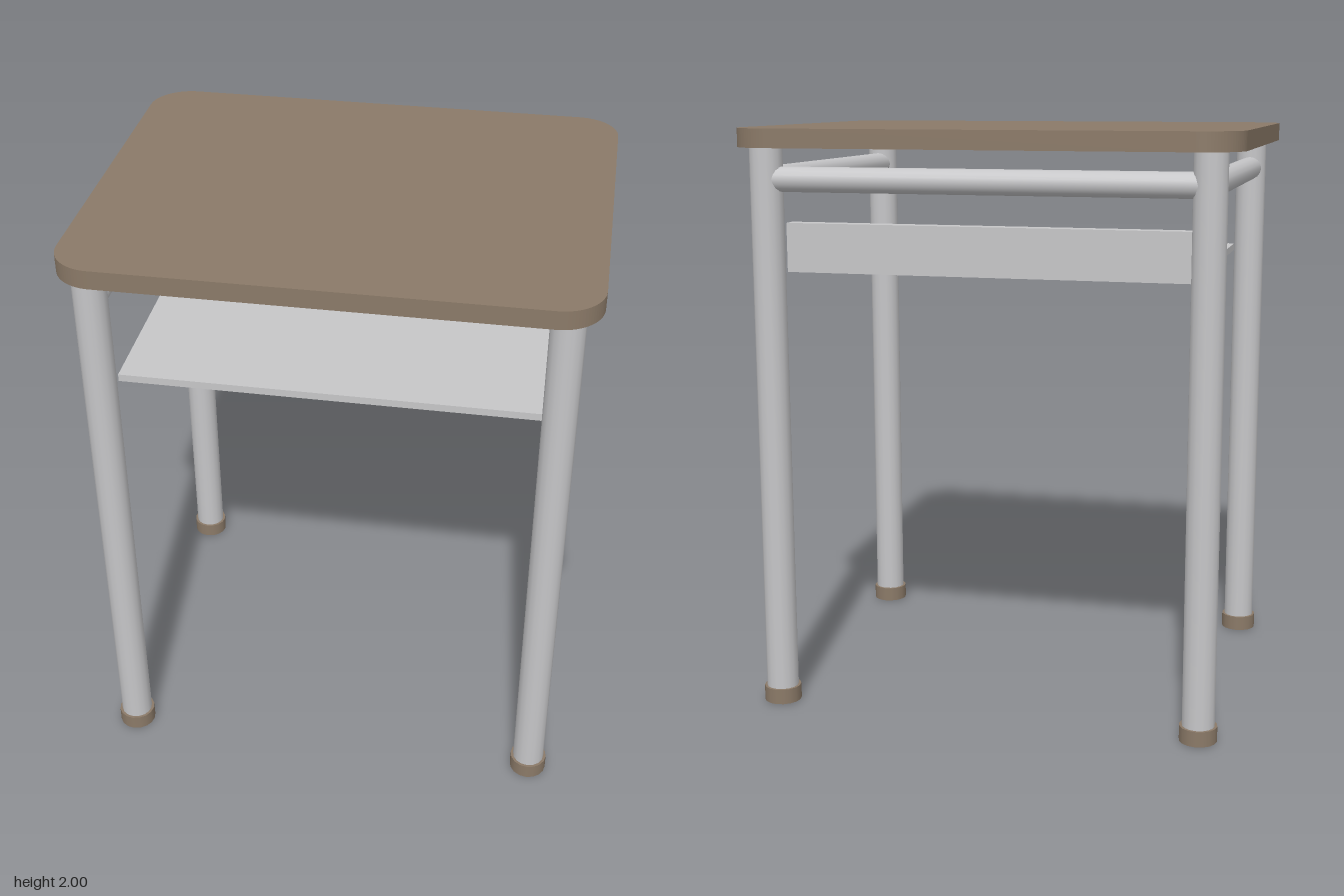
import * as THREE from 'three';

const material = (name, color) => {
  const m = new THREE.MeshStandardMaterial({ color });
  m.name = name;
  return m;
};

export function createModel() {
  const wood = material('brown', 0x8b7a68);
  const metal = material('light grey', 0xc6c6c8);
  const desk = new THREE.Group();
  desk.name = 'desk';

  const add = (name, geometry, mat, x, y, z) => {
    const mesh = new THREE.Mesh(geometry, mat);
    mesh.name = name;
    mesh.position.set(x, y, z);
    desk.add(mesh);
    return mesh;
  };

  // Rounded table top
  const W = 0.845, D = 0.682, R = 0.14, topY = 1.937;
  const outline = new THREE.Shape();
  outline.absarc(W - R, D - R, R, 0, Math.PI / 2);
  outline.absarc(-W + R, D - R, R, Math.PI / 2, Math.PI);
  outline.absarc(-W + R, -D + R, R, Math.PI, Math.PI * 1.5);
  outline.absarc(W - R, -D + R, R, Math.PI * 1.5, Math.PI * 2);
  const top = new THREE.ExtrudeGeometry(outline, { depth: 2 - topY, bevelEnabled: false, curveSegments: 10 });
  top.rotateX(-Math.PI / 2);
  add('tableTop', top, wood, 0, topY, 0);

  // Tubular legs with end caps
  const legX = 0.74, legZ = 0.58;
  const leg = new THREE.CylinderGeometry(0.055, 0.055, topY, 16);
  const foot = new THREE.CylinderGeometry(0.064, 0.064, 0.053, 16);
  for (const sx of [-1, 1]) {
    for (const sz of [-1, 1]) {
      add('leg', leg, metal, sx * legX, topY / 2, sz * legZ);
      add('footCap', foot, wood, sx * legX, 0.0285, sz * legZ);
    }
  }

  // Side rails and back rail, running between leg centres
  const railY = 1.832;
  const rail = (length) => new THREE.CylinderGeometry(0.042, 0.042, length, 16);
  for (const sx of [-1, 1]) {
    add('sideRail', rail(legZ * 2), metal, sx * legX, railY, 0).rotation.x = Math.PI / 2;
  }
  add('backRail', rail(legX * 2), metal, 0, railY, -legZ).rotation.z = Math.PI / 2;

  // Book shelf with a raised back lip, as one L-shaped profile
  const profile = new THREE.Shape(
    [[-0.55, 1.52], [0.55, 1.52], [0.55, 1.545], [-0.495, 1.545], [-0.495, 1.685], [-0.55, 1.685]]
      .map(([z, y]) => new THREE.Vector2(-z, y))
  );
  const shelf = new THREE.ExtrudeGeometry(profile, { depth: 1.374, bevelEnabled: false });
  shelf.translate(0, 0, -0.687);
  shelf.rotateY(Math.PI / 2);
  add('shelf', shelf, metal, 0, 0, 0);

  return desk;
}
